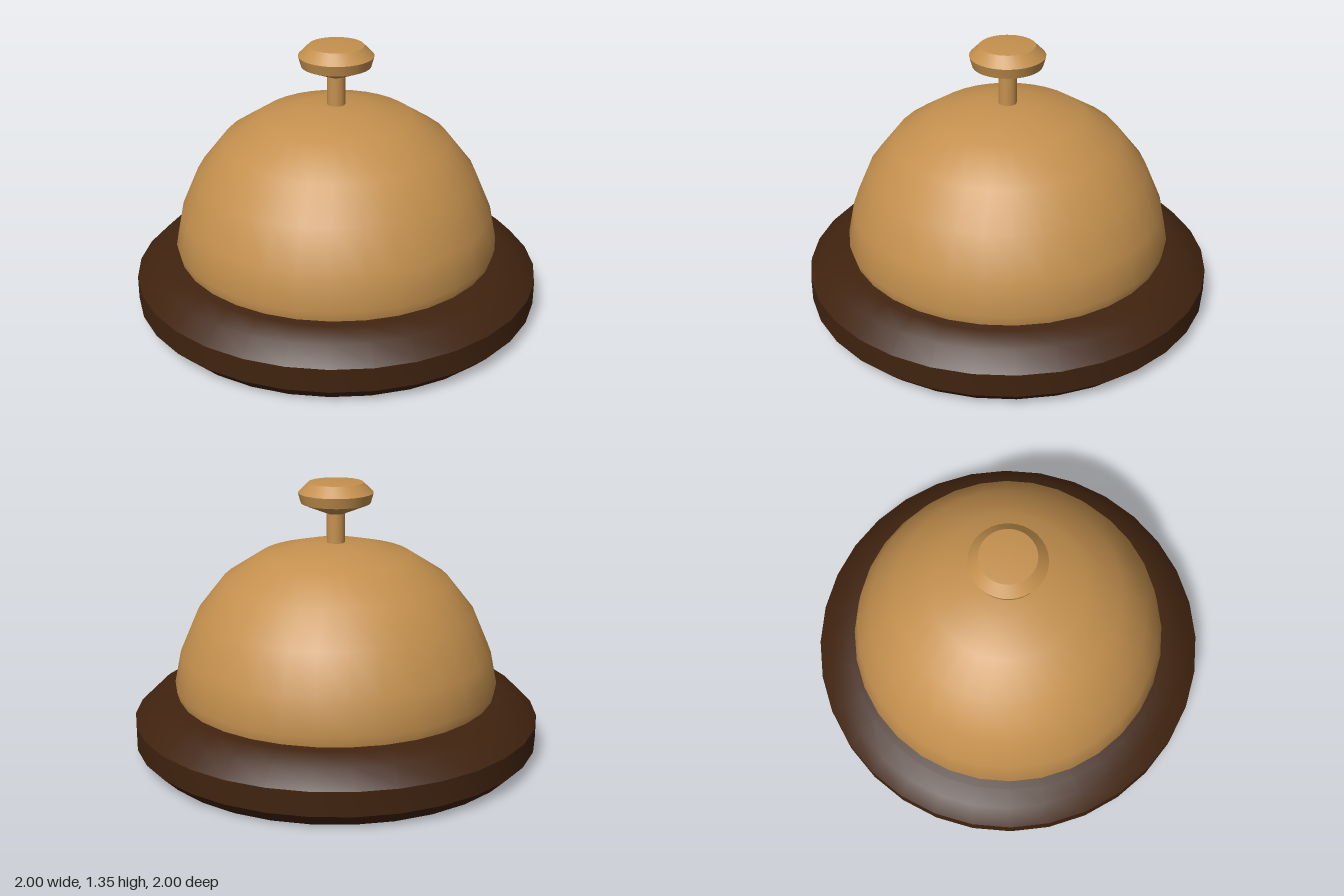
import * as THREE from 'three';
import { toCreasedNormals } from 'three/addons/utils/BufferGeometryUtils.js';

const brass = new THREE.MeshStandardMaterial({ name: 'brass', color: 0xc4904e });
const darkWood = new THREE.MeshStandardMaterial({ name: 'dark wood', color: 0x40230f });

// Turned part from a [radius, height] profile, listed bottom to top
function turned(name, profile, material, sides = 32) {
  const points = profile.map(([r, y]) => new THREE.Vector2(r, y));
  const geometry = toCreasedNormals(new THREE.LatheGeometry(points, sides), 0.5);
  const mesh = new THREE.Mesh(geometry, material);
  mesh.name = name;
  return mesh;
}

export function createModel() {
  const bell = new THREE.Group();
  bell.name = 'deskBell';

  // Round base with a chamfered foot and a softened upper rim
  bell.add(turned('base', [
    [0, 0], [0.93, 0], [1, 0.07], [1, 0.187], [0.92, 0.265], [0.83, 0.3], [0, 0.3],
  ], darkWood));

  // Dome, tucked in slightly at the lip
  bell.add(turned('dome', [
    [0.785, 0.298], [0.798, 0.35], [0.765, 0.51], [0.683, 0.7], [0.55, 0.868],
    [0.367, 0.985], [0.17, 1.035], [0, 1.045],
  ], brass));

  // Plunger stem
  const stem = new THREE.Mesh(new THREE.CylinderGeometry(0.044, 0.044, 0.18, 32), brass);
  stem.name = 'stem';
  stem.position.y = 1.11;
  bell.add(stem);

  // Push button
  bell.add(turned('button', [
    [0, 1.182], [0.044, 1.185], [0.168, 1.236], [0.182, 1.286], [0.133, 1.335], [0, 1.348],
  ], brass));

  return bell;
}
